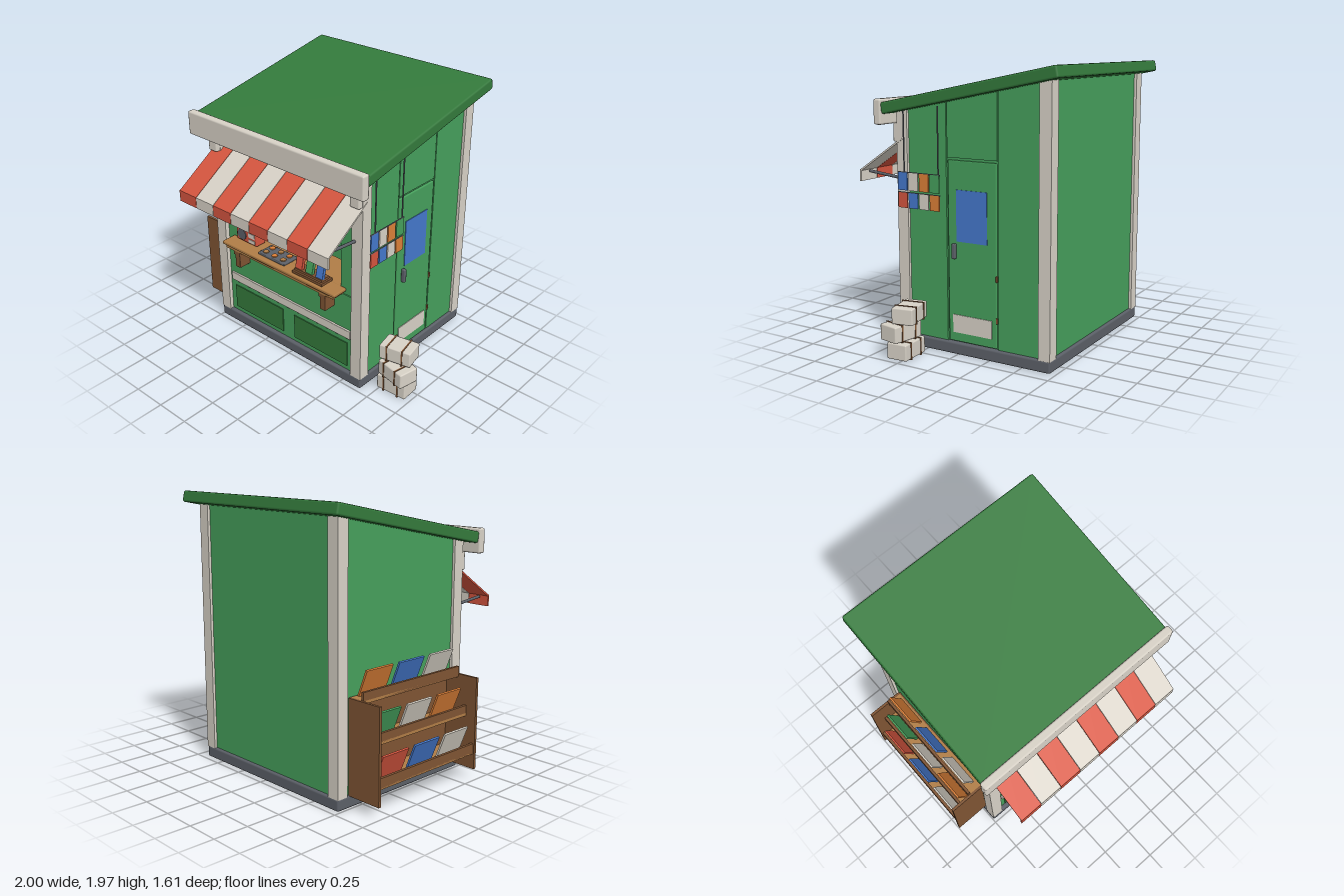
import * as THREE from 'three';
import { RoundedBoxGeometry } from 'three/addons/geometries/RoundedBoxGeometry.js';

const colours = {
  wallGreen: 0x46a05c, roofGreen: 0x347a3c, cream: 0xd8d2c7, red: 0xd5553f, blue: 0x4578cc,
  orange: 0xdd8038, brown: 0x7f5433, tan: 0xb07d46, slate: 0x5c6068,
};

export function createModel() {
  const M = {};
  for (const [name, color] of Object.entries(colours)) {
    M[name] = new THREE.MeshStandardMaterial({ color });
    M[name].name = name;
  }
  const model = new THREE.Group();
  model.name = 'kiosk';

  const add = (name, geo, mat, parent = model) => {
    const m = new THREE.Mesh(geo, mat);
    m.name = name;
    parent.add(m);
    return m;
  };
  const group = (name, parent = model) => {
    const g = new THREE.Group();
    g.name = name;
    parent.add(g);
    return g;
  };
  // Box given by its limits; r > 0 chamfers the edges
  const box = (name, mat, [x0, x1], [y0, y1], [z0, z1], r = 0, parent = model) => {
    const s = [x1 - x0, y1 - y0, z1 - z0];
    const geo = r ? new RoundedBoxGeometry(...s, 1, r) : new THREE.BoxGeometry(...s);
    const m = add(name, geo, mat, parent);
    m.position.set((x0 + x1) / 2, (y0 + y1) / 2, (z0 + z1) / 2);
    return m;
  };
  // Box whose top follows the slope of the roof
  const roofY = z => 1.655 + (0.535 - z) * 0.2;
  const sloped = (name, mat, [x0, x1], y0, [z0, z1], parent = model) => {
    const geo = new THREE.BoxGeometry(x1 - x0, 1, z1 - z0);
    geo.translate((x0 + x1) / 2, 0, (z0 + z1) / 2);
    const p = geo.attributes.position;
    for (let i = 0; i < p.count; i++) p.setY(i, p.getY(i) > 0 ? roofY(p.getZ(i)) : y0);
    geo.computeVertexNormals();
    return add(name, geo, mat, parent);
  };
  const rod = (name, mat, a, b, r, parent = model) => {
    const A = new THREE.Vector3(...a), B = new THREE.Vector3(...b), d = B.clone().sub(A);
    const m = add(name, new THREE.CylinderGeometry(r, r, d.length(), 8), mat, parent);
    m.position.copy(A).add(B).multiplyScalar(0.5);
    m.quaternion.setFromUnitVectors(new THREE.Vector3(0, 1, 0), d.normalize());
    return m;
  };

  // Base, posts, roof
  box('base', M.slate, [-0.745, 0.665], [0.01, 0.095], [-0.717, 0.475], 0.015);
  for (const x of [[-0.745, -0.655], [0.575, 0.665]]) {
    sloped('frontPost', M.cream, x, 0.09, [0.388, 0.475]);
    sloped('backPost', M.cream, x, 0.09, [-0.717, -0.63]);
    box('awningBracket', M.cream, [x[0] + 0.006, x[1] - 0.004], [1.44, 1.57], [0.43, 0.51], 0.01);
  }
  const roof = add('roof', new RoundedBoxGeometry(1.585, 0.08, 1.365, 1, 0.014), M.roofGreen);
  roof.position.set(-0.0375, 1.806, -0.128);
  roof.rotation.x = 0.199;
  box('fascia', M.cream, [-0.84, 0.765], [1.56, 1.735], [0.535, 0.595], 0.014);

  // Side and back walls
  sloped('leftSideWall', M.wallGreen, [-0.725, -0.69], 0.09, [-0.64, 0.4]);
  sloped('backWall', M.wallGreen, [-0.67, 0.59], 0.09, [-0.697, -0.66]);
  sloped('doorSideWall', M.wallGreen, [0.6, 0.632], 0.09, [-0.64, 0.4]);
  sloped('sidePanel', M.wallGreen, [0.63, 0.645], 0.09, [0.083, 0.39]);
  sloped('sidePanel', M.wallGreen, [0.63, 0.645], 0.09, [-0.632, -0.322]);
  sloped('overDoorPanel', M.wallGreen, [0.63, 0.645], 1.36, [-0.314, 0.075]);

  // Door
  const door = group('door');
  box('doorLeaf', M.wallGreen, [0.63, 0.65], [0.1, 1.345], [-0.31, 0.07], 0.008, door);
  box('doorWindow', M.blue, [0.648, 0.655], [0.8, 1.15], [-0.24, 0], 0, door);
  box('kickPlate', M.cream, [0.648, 0.655], [0.165, 0.29], [-0.275, 0.033], 0, door);
  box('doorHandle', M.slate, [0.648, 0.68], [0.68, 0.785], [0, 0.028], 0.008, door);
  for (const y of [0.295, 0.58]) rod('hinge', M.brown, [0.651, y - 0.02, -0.313], [0.651, y + 0.02, -0.313], 0.007, door);

  // Front wall with serving window
  const wall = new THREE.Shape([[-0.66, 0.715], [0.58, 0.715], [0.58, 1.66], [-0.66, 1.66]].map(p => new THREE.Vector2(...p)));
  wall.holes.push(new THREE.Path([[-0.535, 0.74], [-0.535, 1.45], [0.455, 1.45], [0.455, 0.74]].map(p => new THREE.Vector2(...p))));
  add('windowWall', new THREE.ExtrudeGeometry(wall, { depth: 0.04, bevelEnabled: false }), M.wallGreen).position.z = 0.4;
  box('lowerFrontWall', M.wallGreen, [-0.66, 0.58], [0.09, 0.712], [0.4, 0.445]);
  box('frontTrim', M.cream, [-0.635, 0.555], [0.37, 0.437], [0.44, 0.46], 0.005);
  for (const x of [[-0.605, -0.1], [0.015, 0.525]]) box('frontPanel', M.roofGreen, x, [0.13, 0.325], [0.444, 0.452]);
  box('innerWall', M.wallGreen, [-0.69, 0.6], [0.1, 1.65], [-0.02, 0]);

  // Shelf and magazines inside
  box('innerShelf', M.tan, [-0.62, 0.58], [1.015, 1.037], [0, 0.15]);
  ['red', 'cream', 'blue', 'orange', 'cream', 'green', 'red', 'blue'].forEach((c, i) => {
    const x = -0.525 + i * 0.1365;
    box('shelfMagazine', M[c] || M.wallGreen, [x - 0.052, x + 0.052], [1.037, 1.2], [0.06, 0.09]);
  });

  // Counter
  box('counterTop', M.tan, [-0.595, 0.505], [0.742, 0.768], [0.44, 0.565], 0.008);
  box('counterInner', M.tan, [-0.534, 0.454], [0.742, 0.766], [0.18, 0.45]);
  box('counterUnderside', M.tan, [-0.57, 0.48], [0.717, 0.743], [0.44, 0.55]);
  for (const x of [-0.46, 0.38]) {
    box('counterBracket', M.brown, [x - 0.025, x + 0.025], [0.585, 0.718], [0.44, 0.545], 0.006);
    box('bracketCap', M.brown, [x - 0.03, x + 0.03], [0.69, 0.718], [0.44, 0.55]);
  }

  // Radio
  const radio = group('radio');
  box('radioBody', M.red, [-0.535, -0.325], [0.775, 0.895], [0.385, 0.475], 0.01, radio);
  const speaker = rod('speaker', M.slate, [-0.473, 0.832, 0.47], [-0.473, 0.832, 0.481], 0.043, radio);
  speaker.geometry = new THREE.CylinderGeometry(0.043, 0.043, 0.011, 20);
  box('radioDial', M.cream, [-0.405, -0.342], [0.83, 0.866], [0.47, 0.479], 0, radio);
  box('radioKnobs', M.cream, [-0.405, -0.342], [0.79, 0.815], [0.47, 0.479], 0, radio);
  box('radioHandle', M.slate, [-0.51, -0.355], [0.92, 0.932], [0.424, 0.436], 0, radio);
  for (const x of [-0.5, -0.365]) rod('handlePost', M.slate, [x, 0.89, 0.43], [x, 0.925, 0.43], 0.005, radio);
  rod('antenna', M.slate, [-0.405, 0.89, 0.41], [-0.32, 1.1, 0.41], 0.005, radio);

  // Coin tray
  const tray = group('coinTray');
  box('trayPlate', M.slate, [-0.26, 0], [0.768, 0.786], [0.385, 0.525], 0.006, tray);
  for (let i = 0; i < 6; i++) {
    const x = -0.215 + (i % 3) * 0.085, z = 0.42 + Math.floor(i / 3) * 0.065;
    rod('coin', i % 2 ? M.tan : M.orange, [x, 0.784, z], [x, 0.793, z], 0.022, tray);
  }

  // Card stand on the counter
  const stand = group('cardStand');
  box('standBase', M.brown, [0.095, 0.375], [0.768, 0.79], [0.43, 0.545], 0.005, stand);
  box('standStep', M.brown, [0.11, 0.36], [0.785, 0.808], [0.45, 0.53], 0, stand);
  [['red', 0.14], ['wallGreen', 0.235], ['blue', 0.33]].forEach(([c, x]) => {
    box('standCard', M[c], [x - 0.032, x + 0.032], [0.803, 0.9], [0.488, 0.514], 0.004, stand).rotation.x = -0.22;
  });

  // Striped awning
  const awning = group('awning');
  const w = 1.405 / 8, top = [1.467, 0.43], low = [1.222, 0.8];
  const drop = top[0] - low[0], run = low[1] - top[1];
  for (let i = 0; i < 8; i++) {
    const mat = i % 2 ? M.cream : M.red, x = -0.735 + w * (i + 0.5);
    const s = add('awningStripe', new THREE.BoxGeometry(w - 0.003, 0.012, Math.hypot(drop, run)), mat, awning);
    s.position.set(x, (top[0] + low[0]) / 2, (top[1] + low[1]) / 2);
    s.rotation.x = Math.atan2(drop, run);
    box('valance', mat, [x - w / 2 + 0.0015, x + w / 2 - 0.0015], [1.145, 1.228], [0.793, 0.806], 0, awning);
  }
  for (const x of [-0.67, 0.6]) rod('awningStrut', M.slate, [x, 1.18, 0.46], [x, 1.212, 0.77], 0.011, awning);

  // Hanging cards on the door side
  const cards = group('hangingCards');
  for (const z of [0.11, 0.39]) rod('cardWire', M.slate, [0.7, 1.245, z], [0.7, 1.7, z], 0.005, cards);
  [['blue', 'cream', 'orange', 'wallGreen'], ['red', 'blue', 'cream', 'orange']].forEach((row, r) => {
    const y = 1.243 - r * 0.138;
    rod('cardLine', M.slate, [0.703, y, 0.095], [0.703, y, 0.44], 0.005, cards);
    row.forEach((c, i) => {
      const z = 0.4 - i * 0.0875;
      box('hangingCard', M[c], [0.699, 0.708], [y - (r ? 0.105 : 0.122), y], [z - 0.038, z + 0.038], 0, cards);
    });
  });

  // Magazine rack on the other side, three stepped tiers
  const rack = group('magazineRack');
  for (const z of [-0.61, 0.34]) box('rackEnd', M.brown, [-1, -0.73], [0.09, 0.745], [z, z + 0.02], 0, rack);
  box('rackBack', M.brown, [-0.74, -0.724], [0.1, 0.745], [-0.6, 0.35], 0, rack);
  const tiers = [
    [-0.99, 0.2, ['red', 'blue', 'cream']],
    [-0.92, 0.46, ['wallGreen', 'cream', 'orange']],
    [-0.845, 0.725, ['orange', 'blue', 'cream']],
  ];
  for (const [x, y, row] of tiers) {
    box('rackShelf', M.tan, [x, -0.725], [y, y + 0.02], [-0.592, 0.342], 0, rack);
    box('rackLip', M.brown, [x, x + 0.02], [y, y + 0.075], [-0.592, 0.342], 0, rack);
    row.forEach((c, i) => {
      const z = -0.43 + i * 0.3;
      const m = box('rackMagazine', M[c], [x + 0.047, x + 0.061], [y + 0.018, y + 0.212], [z - 0.12, z + 0.12], 0, rack);
      m.rotation.z = 0.38;
    });
  }

  // Tied paper bundles
  [[0.847, 0.068, 0.29, 0.05], [0.868, 0.192, 0.315, -0.2], [0.838, 0.316, 0.265, 0.2]].forEach(([x, y, z, turn]) => {
    const b = group('paperBundle');
    b.position.set(x, y, z);
    b.rotation.y = turn;
    add('papers', new RoundedBoxGeometry(0.235, 0.114, 0.155, 1, 0.01), M.cream, b);
    for (const s of [-0.06, 0.055]) add('strap', new THREE.BoxGeometry(0.01, 0.122, 0.163), M.brown, b).position.x = s;
  });

  return model;
}
